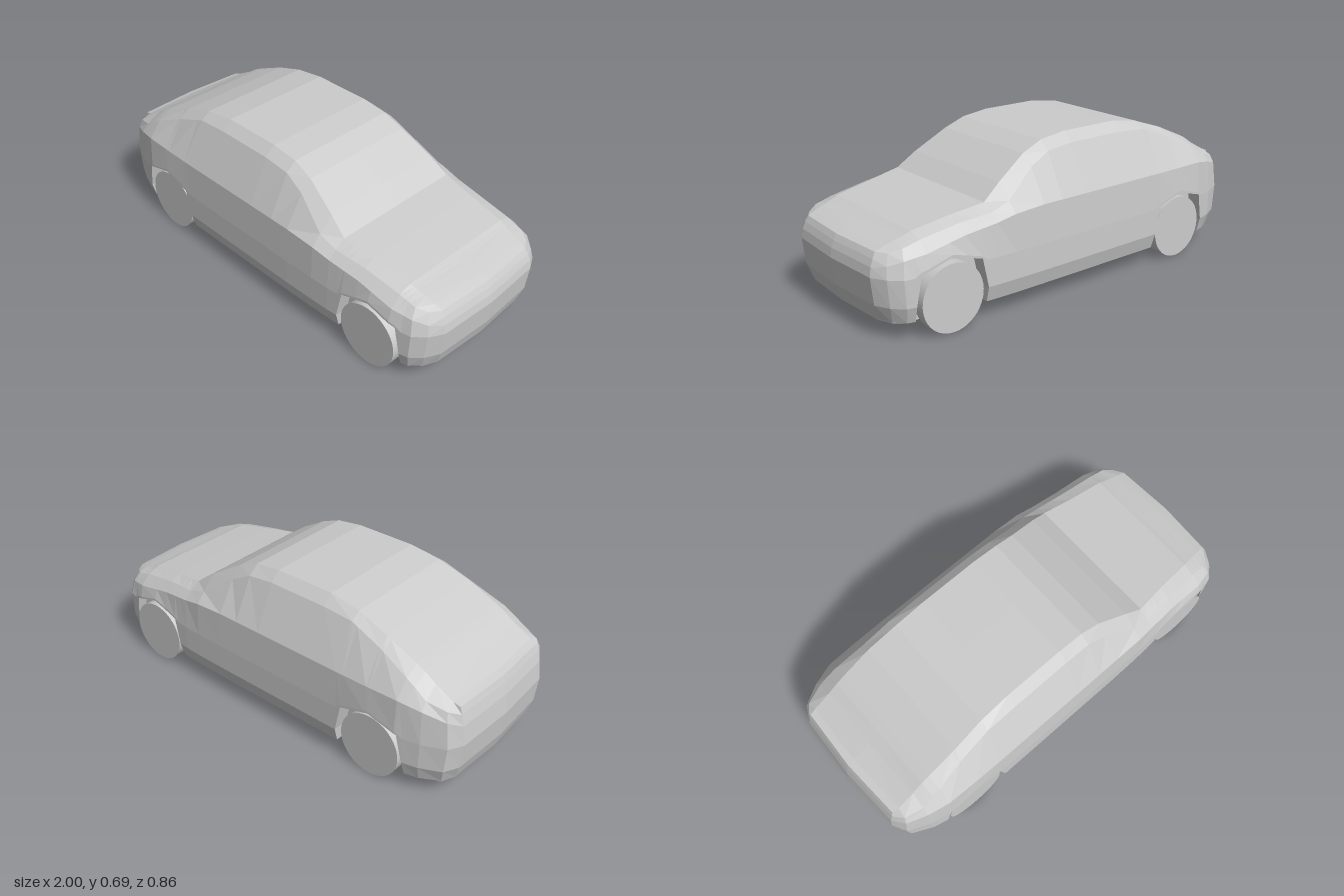
import * as THREE from 'three';

const FLOOR = 0.075, SILL = 0.08, WELL_Z = 0.355;
const WHEELS = [-0.61, 0.69];

// Body stations from tail to nose:
// x, topY, roofEdgeZ, railZ, railY, beltZ, beltY, sideZ
const STATIONS = [
  [-0.985, 0.44, 0.285, 0.29, 0.41, 0.29, 0.36, 0.29],
  [-0.95, 0.45, 0.29, 0.335, 0.43, 0.35, 0.39, 0.355],
  [-0.85, 0.495, 0.29, 0.36, 0.455, 0.39, 0.42, 0.40],
  [-0.74, 0.55, 0.29, 0.355, 0.515, 0.415, 0.44, 0.425],
  [-0.59, 0.615, 0.29, 0.335, 0.58, 0.42, 0.44, 0.43],
  [-0.44, 0.665, 0.28, 0.325, 0.635, 0.422, 0.44, 0.43],
  [-0.29, 0.687, 0.277, 0.325, 0.645, 0.422, 0.44, 0.43],
  [0, 0.687, 0.277, 0.325, 0.645, 0.422, 0.44, 0.43],
  [0.13, 0.67, 0.277, 0.325, 0.63, 0.422, 0.44, 0.43],
  [0.23, 0.63, 0.283, 0.335, 0.58, 0.422, 0.44, 0.43],
  [0.38, 0.54, 0.31, 0.375, 0.475, 0.42, 0.43, 0.428],
  [0.47, 0.475, 0.325, 0.375, 0.445, 0.412, 0.41, 0.425],
  [0.62, 0.452, 0.305, 0.36, 0.43, 0.40, 0.39, 0.415],
  [0.80, 0.42, 0.29, 0.35, 0.40, 0.397, 0.355, 0.412],
  [0.90, 0.395, 0.28, 0.345, 0.38, 0.375, 0.34, 0.39],
  [0.95, 0.38, 0.275, 0.315, 0.365, 0.335, 0.32, 0.345],
  [0.985, 0.365, 0.27, 0.275, 0.34, 0.278, 0.31, 0.28],
];

// Wheel arch outline as [offset from axle, height]
const ARCH = [[-0.17, SILL], [-0.167, 0.15], [-0.14, 0.28], [0, 0.32], [0.14, 0.28], [0.167, 0.15], [0.17, SILL]];

// Linear interpolation in a table sorted by its first column
function sample(table, x) {
  let i = 0;
  while (i < table.length - 2 && x > table[i + 1][0]) i++;
  const a = table[i], b = table[i + 1];
  const t = THREE.MathUtils.clamp((x - a[0]) / (b[0] - a[0]), 0, 1);
  return a.map((v, k) => v + (b[k] - v) * t);
}

function lowerEdge(x) {
  const axle = WHEELS.find((w) => Math.abs(x - w) < 0.1701);
  return axle === undefined ? SILL : sample(ARCH, x - axle)[1];
}

// Rounds the nose and tail in side and top view
function endX(x, y, centre) {
  const sign = Math.sign(x);
  const w = THREE.MathUtils.clamp((Math.abs(x) - 0.8) / 0.185, 0, 1);
  const k = x > 0 && y > 0.26 ? 0.11 : 0.04;
  return x - sign * w * (k * ((y - 0.26) / 0.19) ** 2 - (centre ? 0.015 : 0));
}

// Half section from roof centre, down the side, under the arch, to floor centre
function section(x) {
  const [, topY, edgeZ, railZ, railY, beltZ, beltY, sideZ] = sample(STATIONS, x);
  const edge = lowerEdge(x);
  const side = (y) => [y, sideZ - 0.02 * Math.max(0, (0.15 - y) / 0.07)];
  const low = side(edge);
  const inner = Math.min(WELL_Z, low[1]);
  return [
    [topY, 0], [topY, edgeZ], [railY, railZ], [beltY, beltZ],
    side(Math.max(0.27, edge + 0.01)), side(Math.max(0.15, edge)), low,
    [edge, inner], [FLOOR, inner], [FLOOR, 0],
  ].map(([y, z]) => new THREE.Vector3(endX(x, y, z === 0), y, z));
}

function bodyHalf(mirror) {
  const xs = STATIONS.map((s) => s[0]);
  for (const w of WHEELS) for (const [dx] of ARCH) xs.push(w + dx);
  xs.sort((a, b) => a - b);
  const rings = xs.map(section);
  const pos = [];
  const tri = (a, b, c) => {
    for (const p of mirror < 0 ? [a, c, b] : [a, b, c]) pos.push(p.x, p.y, p.z * mirror);
  };
  const strip = (p, q) => {
    for (let j = 0; j < p.length - 1; j++) {
      tri(p[j], p[j + 1], q[j]);
      tri(p[j + 1], q[j + 1], q[j]);
    }
  };
  for (let i = 0; i < rings.length - 1; i++) strip(rings[i], rings[i + 1]);

  // Nose and tail faces run from the end sections to the centre line
  const capRows = (i) => rings[i].slice(1, 9);
  const centreRows = (i) => capRows(i).map((p) => new THREE.Vector3(endX(xs[i], p.y, true), p.y, 0));
  const last = rings.length - 1;
  strip(capRows(last), centreRows(last));
  strip(centreRows(0), capRows(0));

  const geo = new THREE.BufferGeometry();
  geo.setAttribute('position', new THREE.Float32BufferAttribute(pos, 3));
  geo.computeVertexNormals();
  return geo;
}

export function createModel() {
  const model = new THREE.Group();
  model.name = 'car';
  const paint = new THREE.MeshStandardMaterial({ color: 0xcccccc, flatShading: true });
  const grey = new THREE.MeshStandardMaterial({ color: 0xcccccc });

  // Body shell, two mirrored halves
  const body = new THREE.Group();
  body.name = 'body';
  for (const s of [1, -1]) {
    const half = new THREE.Mesh(bodyHalf(s), paint);
    half.name = s > 0 ? 'bodyLeft' : 'bodyRight';
    body.add(half);
  }
  model.add(body);

  // Wheels
  const wheelGeo = new THREE.CylinderGeometry(0.147, 0.147, 0.056, 36).rotateX(Math.PI / 2);
  for (const x of WHEELS) {
    for (const s of [1, -1]) {
      const wheel = new THREE.Mesh(wheelGeo, grey);
      wheel.name = (x > 0 ? 'front' : 'rear') + 'Wheel' + (s > 0 ? 'Left' : 'Right');
      wheel.position.set(x, 0.147, s * 0.385);
      model.add(wheel);
    }
  }
  return model;
}
